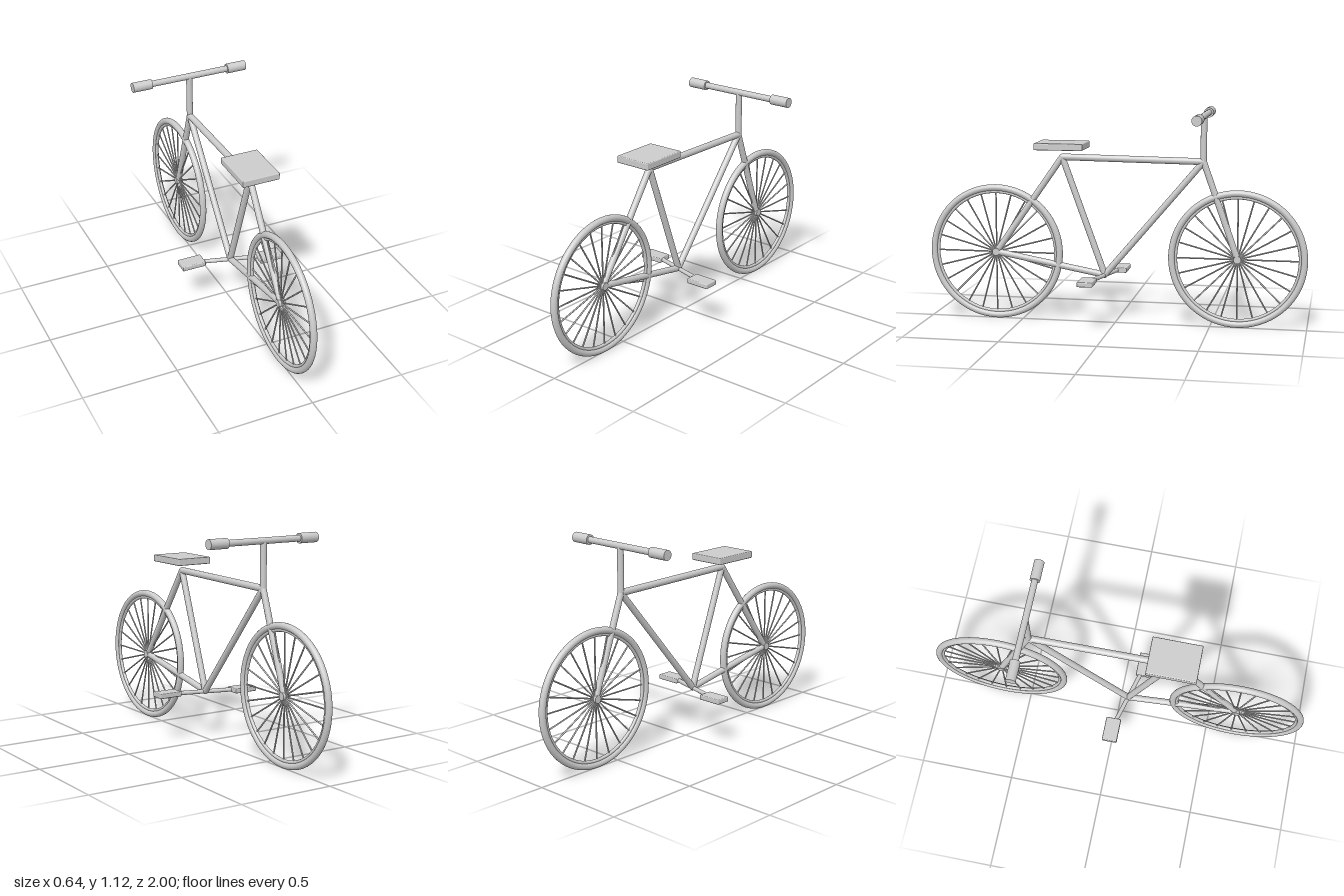
import * as THREE from 'three';
import { RoundedBoxGeometry } from 'three/addons/geometries/RoundedBoxGeometry.js';

export function createModel() {
  const model = new THREE.Group();
  model.name = 'bicycle';
  const grey = new THREE.MeshStandardMaterial({ color: 0xcccccc });
  grey.name = 'plain grey';

  const add = (name, geometry, parent = model) => {
    const mesh = new THREE.Mesh(geometry, grey);
    mesh.name = name;
    parent.add(mesh);
    return mesh;
  };

  // Capped round tube between two points
  const tube = (name, a, b, radius, parent = model, sides = 20) => {
    const from = new THREE.Vector3(...a), to = new THREE.Vector3(...b);
    const dir = to.clone().sub(from);
    const mesh = add(name, new THREE.CylinderGeometry(radius, radius, dir.length(), sides), parent);
    mesh.position.copy(from).add(to).multiplyScalar(0.5);
    mesh.quaternion.setFromUnitVectors(new THREE.Vector3(0, 1, 0), dir.normalize());
  };

  // Slab with softly rounded edges
  const slab = (name, size, at) =>
    add(name, new RoundedBoxGeometry(...size, 3, 0.005)).position.set(...at);

  // Wheels: tyre, rim, hub and radial spokes
  const hubY = 0.36, hubZ = 0.64, spokes = 24;
  for (const [name, z] of [['frontWheel', -hubZ], ['rearWheel', hubZ]]) {
    const wheel = new THREE.Group();
    wheel.name = name;
    wheel.position.set(0, hubY, z);
    model.add(wheel);
    add('tyre', new THREE.TorusGeometry(0.3425, 0.0175, 16, 72), wheel).rotation.y = Math.PI / 2;
    add('rim', new THREE.TorusGeometry(0.322, 0.009, 10, 72), wheel).rotation.y = Math.PI / 2;
    tube('hub', [-0.018, 0, 0], [0.018, 0, 0], 0.02, wheel);
    for (let i = 0; i < spokes; i++) {
      const a = (i / spokes) * Math.PI * 2;
      tube('spoke', [0, 0, 0], [0, Math.sin(a) * 0.325, Math.cos(a) * 0.325], 0.004, wheel, 8);
    }
  }

  // Frame: every tube lies on the centre plane
  const seatTop = [0, 0.873, 0.28], head = [0, 0.863, -0.46], crankPoint = [0, 0.255, 0.055];
  const rearHub = [0, hubY, hubZ], frontHub = [0, hubY, -hubZ];
  const r = 0.0165;
  tube('topTube', seatTop, head, 0.0175);
  tube('seatTube', seatTop, crankPoint, r);
  tube('downTube', head, crankPoint, r);
  tube('seatStay', seatTop, rearHub, r);
  tube('chainStay', crankPoint, rearHub, r);
  tube('fork', head, frontHub, r);
  for (const p of [seatTop, head, crankPoint]) {
    add('frameJoint', new THREE.SphereGeometry(r, 16, 12)).position.set(...p);
  }

  // Stem, handlebar and grips
  const barY = 1.097, barZ = -0.46;
  tube('stem', head, [0, barY, barZ], r);
  tube('handlebar', [-0.25, barY, barZ], [0.25, barY, barZ], r);
  for (const s of [-1, 1]) {
    tube('grip', [s * 0.215, barY, barZ], [s * 0.32, barY, barZ], 0.026);
  }

  // Seat
  slab('seat', [0.198, 0.036, 0.256], [0, 0.933, 0.282]);

  // Crank and pedals
  const crankY = 0.253;
  tube('crank', [-0.18, crankY, 0.005], [0.18, crankY, 0.105], 0.011);
  slab('rightPedal', [0.13, 0.026, 0.08], [-0.2, crankY, 0.003]);
  slab('leftPedal', [0.13, 0.026, 0.08], [0.2, crankY, 0.111]);

  return model;
}
